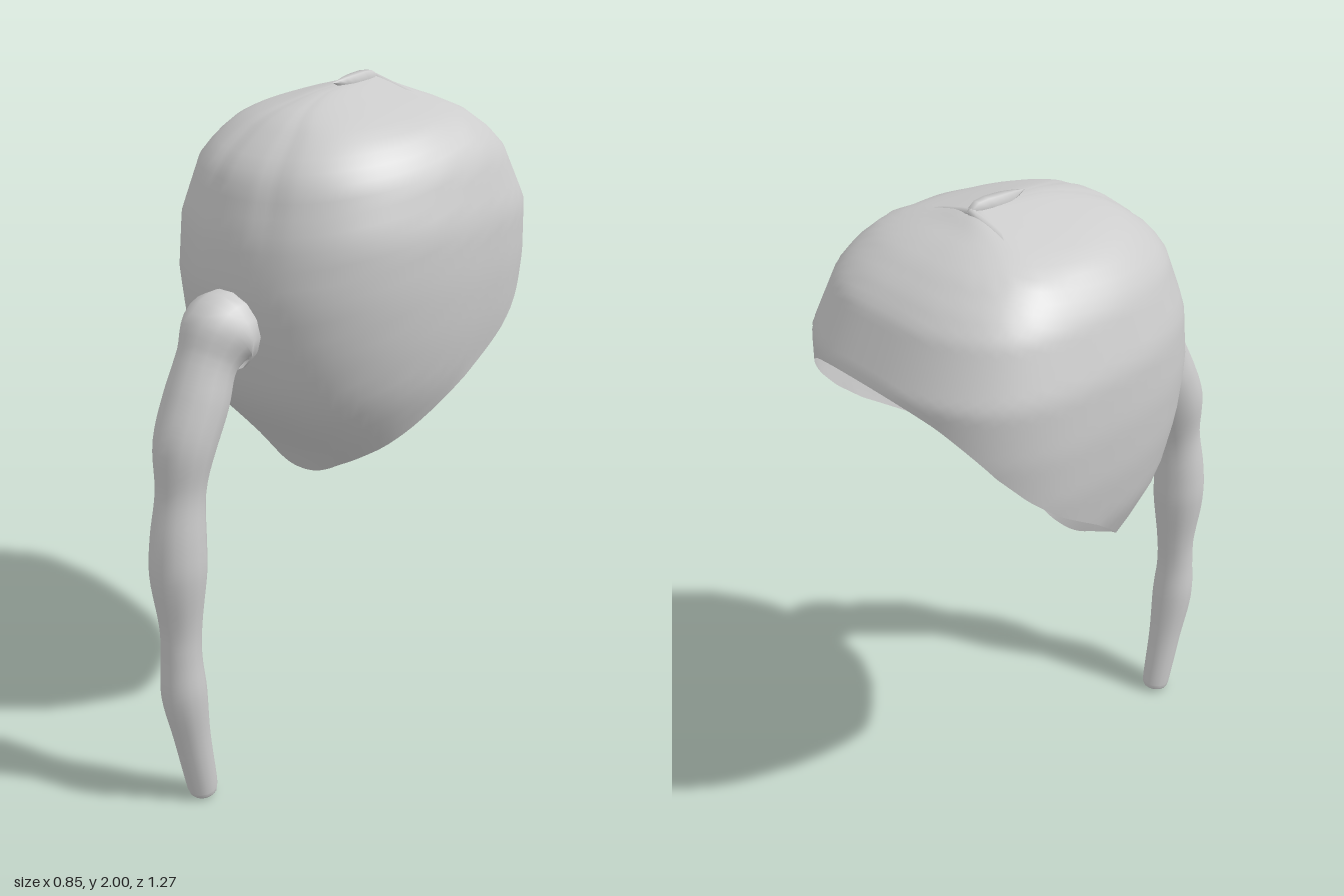
import * as THREE from 'three';

const CENTRE_Z = -0.25;

// Horizontal slices of the full cap: y, front z, back z, half width
const SLICES = [
  [0.86, 0.02, -0.4, 0.18], [0.94, 0.07, -0.44, 0.25], [1.0, 0.115, -0.47, 0.31], [1.1, 0.215, -0.52, 0.35],
  [1.2, 0.28, -0.58, 0.39], [1.35, 0.325, -0.62, 0.415], [1.5, 0.345, -0.635, 0.425], [1.65, 0.33, -0.635, 0.42],
  [1.8, 0.28, -0.56, 0.37], [1.85, 0.235, -0.51, 0.335], [1.9, 0.17, -0.44, 0.28], [1.93, 0.12, -0.38, 0.2],
  [1.95, 0.06, -0.33, 0.13], [1.97, -0.04, -0.29, 0.06], [1.985, CENTRE_Z, CENTRE_Z, 0],
];
// Opening edge seen from the side: y, z
const RIM = [
  [0.86, 0.045], [0.94, 0.035], [1.0, 0.015], [1.05, -0.03], [1.1, -0.08], [1.2, -0.19],
  [1.31, -0.35], [1.39, -0.44], [1.47, -0.51], [1.6, -0.6], [1.64, -0.635], [1.72, -0.8],
];

// Linear lookup of column k at height y
function lookup(table, y, k) {
  let i = 0;
  while (i < table.length - 2 && y > table[i + 1][0]) i++;
  const a = table[i], b = table[i + 1];
  return THREE.MathUtils.lerp(a[k], b[k], (y - a[0]) / (b[0] - a[0]));
}

// Point on the cap at an angle around the head (0 = front) and a height
function capPoint(angle, y) {
  const s = Math.sin(angle), c = Math.cos(angle);
  const e = c > 0 ? 2 / 2.3 : 2 / 2.6;
  const reach = Math.abs(lookup(SLICES, y, c > 0 ? 1 : 2) - CENTRE_Z);
  const side = Math.abs(angle > Math.PI ? angle - 2 * Math.PI : angle);
  const groove = 1 - 0.02 * Math.exp(-(((side - 0.22) / 0.08) ** 2)) * THREE.MathUtils.smoothstep(y, 1.5, 1.9);
  return [
    Math.sign(s) * Math.abs(s) ** e * lookup(SLICES, y, 3) * groove,
    y,
    CENTRE_Z + Math.sign(c) * Math.abs(c) ** e * reach * groove,
  ];
}

// Height at which a meridian meets the opening
function rimHeight(angle) {
  let lo = 0.86, hi = 1.72;
  for (let i = 0; i < 30; i++) {
    const mid = (lo + hi) / 2;
    if (capPoint(angle, mid)[2] > lookup(RIM, mid, 1)) hi = mid; else lo = mid;
  }
  return hi;
}

// Grid of points, closed around each row
function gridGeometry(points, cols, rows) {
  const index = [];
  for (let i = 0; i < cols; i++) {
    for (let j = 0; j < rows; j++) {
      const n = (i + 1) % cols;
      const a = i * (rows + 1) + j, b = n * (rows + 1) + j;
      index.push(a, a + 1, b, b, a + 1, b + 1);
    }
  }
  const g = new THREE.BufferGeometry();
  g.setAttribute('position', new THREE.Float32BufferAttribute(points, 3));
  g.setIndex(index);
  g.computeVertexNormals();
  return g;
}

function capGeometry() {
  const cols = 96, rows = 28, points = [];
  for (let i = 0; i < cols; i++) {
    const angle = (i / cols) * 2 * Math.PI;
    const low = rimHeight(angle);
    for (let j = 0; j <= rows; j++) {
      const y = low + (1.984 - low) * Math.cos((j / rows) * Math.PI / 2);
      points.push(...capPoint(angle, y));
    }
  }
  return gridGeometry(points, cols, rows);
}

// Round strand through stations of x, y, z, radius
function strandGeometry(stations, cols, rows) {
  const path = new THREE.CatmullRomCurve3(stations.map(([x, y, z]) => new THREE.Vector3(x, y, z)));
  const radii = new THREE.CatmullRomCurve3(stations.map((s) => new THREE.Vector3(s[3], 0, 0)), false, 'catmullrom');
  const frames = [];
  for (let j = 0; j <= rows; j++) {
    const t = path.getTangent(j / rows);
    const ref = Math.abs(t.x) > 0.8 ? new THREE.Vector3(0, 0, 1) : new THREE.Vector3(1, 0, 0);
    const v = new THREE.Vector3().crossVectors(t, ref).normalize();
    const u = new THREE.Vector3().crossVectors(v, t);
    frames.push({ p: path.getPoint(j / rows), r: Math.max(0, radii.getPoint(j / rows).x), u, v });
  }
  const points = [];
  for (let i = 0; i < cols; i++) {
    const a = (i / cols) * 2 * Math.PI;
    for (const { p, r, u, v } of frames) {
      const q = p.clone().addScaledVector(u, r * Math.cos(a)).addScaledVector(v, -r * Math.sin(a));
      points.push(q.x, q.y, q.z);
    }
  }
  return gridGeometry(points, cols, rows);
}

export function createModel() {
  const group = new THREE.Group();
  const hair = new THREE.MeshStandardMaterial({ color: 0xcccccc, side: THREE.DoubleSide });
  hair.name = 'hairGrey';
  const add = (name, geometry) => {
    const mesh = new THREE.Mesh(geometry, hair);
    mesh.name = name;
    group.add(mesh);
  };

  add('hairCap', capGeometry());

  // Wavy tail, from its root inside the cap to the blunt tip
  add('ponytail', strandGeometry([
    [0, 1.39, 0.24, 0], [0, 1.395, 0.28, 0.07], [0, 1.4, 0.33, 0.105], [0, 1.4, 0.37, 0.11],
    [0, 1.34, 0.42, 0.085], [0, 1.24, 0.465, 0.09], [0, 1.13, 0.513, 0.086], [0, 1.0, 0.535, 0.069],
    [0, 0.87, 0.55, 0.077], [0, 0.76, 0.555, 0.079], [0, 0.6, 0.553, 0.06], [0, 0.5, 0.555, 0.058],
    [0, 0.38, 0.55, 0.065], [0, 0.22, 0.525, 0.053], [0, 0.03, 0.49, 0.044], [0, 0.01, 0.488, 0.035],
    [0, 0.003, 0.487, 0],
  ], 14, 80));

  // Small tuft at the crown
  add('crownTuft', strandGeometry([
    [0, 1.94, -0.27, 0], [0, 1.975, -0.26, 0.018], [0, 1.975, -0.17, 0.024], [0, 1.985, -0.09, 0],
  ], 6, 10));
  for (const side of [-1, 1]) {
    add('tuftStrand', strandGeometry([
      [0, 1.96, -0.26, 0], [side * 0.03, 1.962, -0.2, 0.012], [side * 0.05, 1.955, -0.1, 0],
    ], 6, 8));
    add('partingStrand', strandGeometry([
      [0, 1.975, -0.27, 0.012], [side * 0.13, 1.94, -0.275, 0.01], [side * 0.27, 1.895, -0.32, 0],
    ], 6, 10));
  }
  return group;
}
